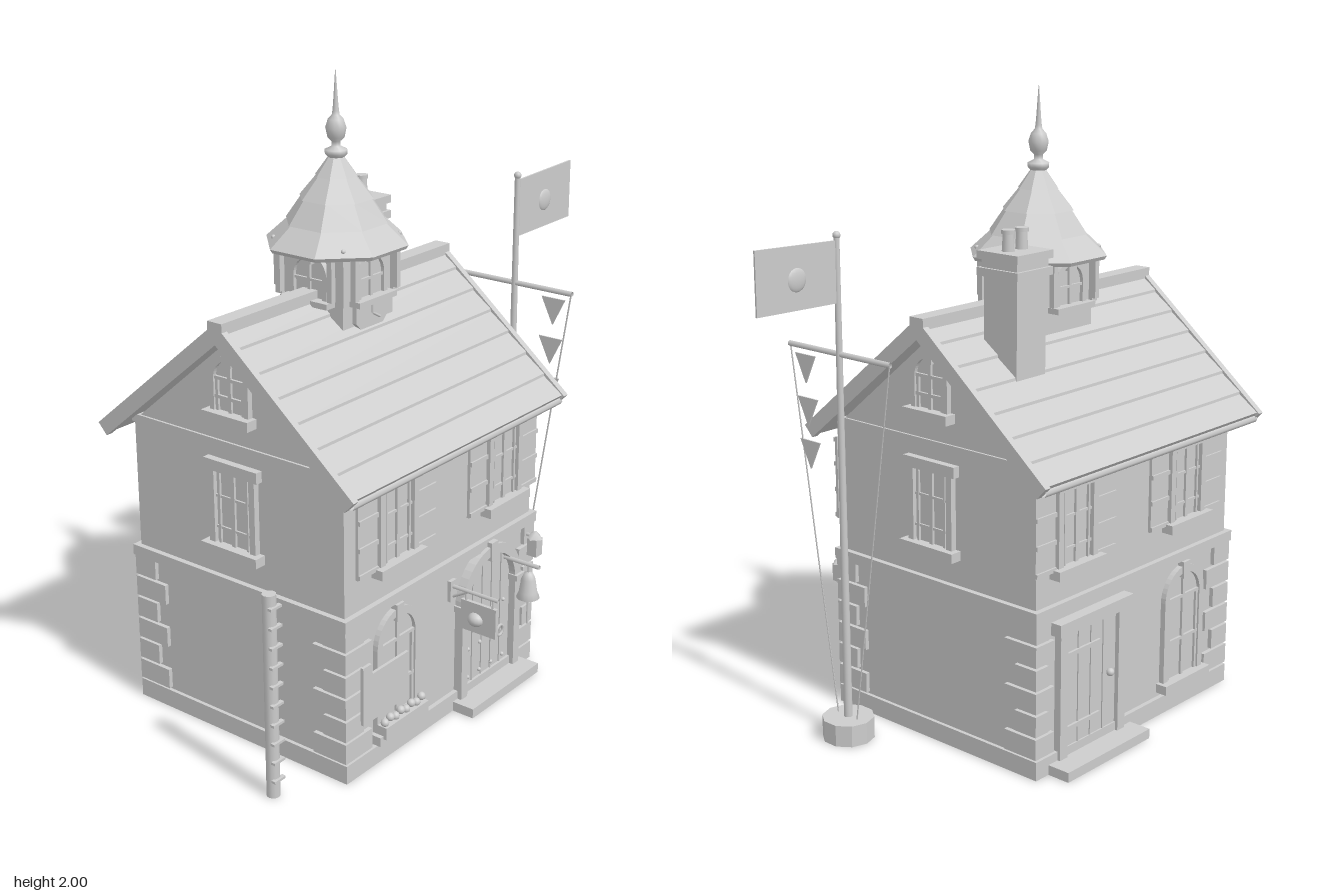
import * as THREE from 'three';

const grey = new THREE.MeshStandardMaterial({ color: 0xcccccc, side: THREE.DoubleSide });
grey.name = 'plainGrey';

// ---------- helpers ----------
function add(parent, name, geo, x = 0, y = 0, z = 0) {
  const m = new THREE.Mesh(geo, grey);
  m.name = name;
  m.position.set(x, y, z);
  parent.add(m);
  return m;
}
const group = (parent, name, x = 0, y = 0, z = 0, ry = 0) => {
  const g = new THREE.Group();
  g.name = name;
  g.position.set(x, y, z);
  g.rotation.y = ry;
  parent.add(g);
  return g;
};
const box = (p, name, w, h, d, x, y, z) => add(p, name, new THREE.BoxGeometry(w, h, d), x, y, z);
const cyl = (p, name, r1, r2, h, x, y, z, n = 12) => add(p, name, new THREE.CylinderGeometry(r1, r2, h, n), x, y, z);
const ball = (p, name, r, x, y, z) => add(p, name, new THREE.SphereGeometry(r, 14, 10), x, y, z);
const poly = pts => new THREE.Shape(pts.map(p => new THREE.Vector2(p[0], p[1])));
const extrude = (s, depth) => new THREE.ExtrudeGeometry(s, { depth, bevelEnabled: false, curveSegments: 10 });
const lathe = (pts, n) => new THREE.LatheGeometry(pts.map(p => new THREE.Vector2(p[0], p[1])), n);
function rod(p, name, a, b, r, n = 6) {
  return add(p, name, new THREE.TubeGeometry(new THREE.LineCurve3(new THREE.Vector3(...a), new THREE.Vector3(...b)), 1, r, n));
}
// Profile in (z, y), extruded along x and centred
function alongX(pts, length) {
  return extrude(poly(pts), length).rotateY(-Math.PI / 2).translate(length / 2, 0, 0);
}
// Round-headed outline: half width r, from y0 up to the springing ys
function arch(r, y0, ys, Type = THREE.Shape) {
  const s = new Type();
  s.moveTo(-r, y0);
  s.lineTo(r, y0);
  s.lineTo(r, ys);
  s.absarc(0, ys, r, 0, Math.PI, false);
  s.lineTo(-r, y0);
  return s;
}
function archSurround(p, rOut, rIn, y0, ys, depth) {
  const s = arch(rOut, y0, ys);
  s.holes.push(arch(rIn, y0 + 0.001, ys, THREE.Path));
  add(p, 'archSurround', extrude(s, depth));
  add(p, 'archPanel', extrude(arch(rIn, y0, ys), 0.006));
  box(p, 'keystone', 0.035, rOut - rIn + 0.03, depth + 0.012, 0, ys + (rOut + rIn) / 2, depth / 2);
}
function archWindow(wall, u, rOut, y0, ys) {
  const g = group(wall, 'archedWindow', u), rIn = rOut * 0.77;
  archSurround(g, rOut, rIn, y0, ys, 0.018);
  box(g, 'mullion', 0.012, ys + rIn - y0, 0.014, 0, (ys + rIn + y0) / 2, 0.007);
  for (const y of [ys, (ys + y0) / 2]) box(g, 'glazingBar', rIn * 2, 0.01, 0.014, 0, y, 0.007);
  for (const s of [-1, 1]) box(g, 'sash', 0.01, ys - y0, 0.014, s * (rIn - 0.008), (ys + y0) / 2, 0.007);
  box(g, 'sill', rOut * 2 + 0.03, 0.03, 0.045, 0, y0, 0.018);
}
function sashWindow(wall, u, shutters) {
  const g = group(wall, 'sashWindow', u);
  box(g, 'glass', 0.16, 0.25, 0.006, 0, 0.77, 0.003);
  for (const x of [-0.08, 0.08]) box(g, 'frameSide', 0.022, 0.25, 0.02, x, 0.77, 0.01);
  for (const x of [-0.055, 0, 0.055]) box(g, 'mullion', x ? 0.008 : 0.014, 0.25, 0.014, x, 0.77, 0.007);
  for (const y of [0.7, 0.8]) box(g, 'glazingBar', 0.15, 0.008, 0.012, 0, y, 0.006);
  box(g, 'lintel', shutters ? 0.19 : 0.21, 0.035, 0.024, 0, 0.9, 0.012);
  box(g, 'sill', 0.22, 0.03, 0.045, 0, 0.635, 0.018);
  if (!shutters) return;
  for (const s of [-1, 1]) {
    box(g, 'shutter', 0.088, 0.27, 0.01, s * 0.14, 0.775, 0.005);
    for (const y of [0.65, 0.735, 0.82, 0.9]) box(g, 'shutterRail', 0.088, 0.014, 0.016, s * 0.14, y, 0.008);
  }
}

// ---------- house ----------
const HX = 0.478, HZ = 0.41, PITCH = 0.83;

function buildShell(h) {
  add(h, 'walls', alongX([[-HZ, 0], [HZ, 0], [HZ, 0.955], [0, 1.3], [-HZ, 0.955]], HX * 2));
  box(h, 'plinth', HX * 2 + 0.024, 0.06, HZ * 2 + 0.03, 0, 0.03, 0);
  box(h, 'stringCourse', HX * 2 + 0.036, 0.035, HZ * 2 + 0.036, 0, 0.52, 0);
  box(h, 'gableBand', HX * 2 + 0.015, 0.025, HZ * 2 + 0.01, 0, 0.965, 0);
  // corner stones, alternately long and short
  for (const sx of [-1, 1]) for (const sz of [-1, 1]) for (let i = 0; i < 6; i++) {
    const w = i % 2 ? 0.085 : 0.125, wx = sx > 0 ? w * 0.68 : w;
    box(h, 'cornerStone', wx, 0.066, w, sx * (HX + 0.014 - wx / 2), 0.1 + i * 0.074, sz * (HZ + 0.014 - w / 2));
  }
}

function buildRoof(h) {
  const top = z => 1.347 - PITCH * z, half = [], n = 7, end = 0.492;
  for (let i = 0; i < n; i++) {
    half.push([i * end / n + 0.001, top(i * end / n)]);
    half.push([(i + 1) * end / n, top((i + 1) * end / n) + 0.009]);
  }
  half.push([end - 0.025, top(end) - 0.022]);
  const chevron = (hs, y) => [...hs, [0, y], ...hs.slice().reverse().map(p => [-p[0], p[1]])];
  add(h, 'roofCourses', alongX(chevron(half, 1.302), 1.06));
  const board = chevron([[0.001, 1.36], [0.5, 0.945], [0.467, 0.91]], 1.297);
  for (const s of [-1, 1]) add(h, 'bargeBoard', alongX(board, 0.022), s * 0.534);
  box(h, 'ridgeCap', 1.09, 0.035, 0.055, 0, 1.347, 0);
  for (const s of [-1, 1]) rod(h, 'gutter', [-0.53, 0.925, s * 0.478], [0.53, 0.925, s * 0.478], 0.012);
}

function buildChimney(h) {
  const g = group(h, 'chimney', 0.279, 0, -0.15);
  box(g, 'stack', 0.13, 0.45, 0.13, 0, 1.26, 0);
  box(g, 'lowerCap', 0.16, 0.025, 0.16, 0, 1.485, 0);
  box(g, 'neck', 0.14, 0.03, 0.14, 0, 1.51, 0);
  box(g, 'upperCap', 0.16, 0.025, 0.16, 0, 1.535, 0);
  for (const x of [-0.03, 0.03]) {
    cyl(g, 'pot', 0.016, 0.02, 0.07, x, 1.575, 0);
    cyl(g, 'potRim', 0.021, 0.021, 0.012, x, 1.605, 0);
  }
}

function buildCupola(h) {
  const g = group(h, 'cupola');
  box(g, 'body', 0.24, 0.31, 0.24, 0, 1.325, 0);
  for (const sx of [-1, 1]) for (const sz of [-1, 1]) {
    box(g, 'cornerPost', 0.026, 0.16, 0.026, sx * 0.12, 1.41, sz * 0.12);
    ball(g, 'roofStud', 0.007, sx * 0.135, 1.503, sz * 0.135);
  }
  for (let i = 0; i < 4; i++) {
    const f = group(g, 'cupolaFace', 0, 0, 0, i * Math.PI / 2);
    const w = group(f, 'louvreWindow', 0, 0, 0.12);
    archSurround(w, 0.073, 0.055, 1.335, 1.405, 0.018);
    box(w, 'mullion', 0.01, 0.12, 0.014, 0, 1.395, 0.007);
    box(w, 'glazingBar', 0.11, 0.008, 0.014, 0, 1.395, 0.007);
    box(w, 'ledge', 0.18, 0.018, 0.045, 0, 1.33, 0.018);
    for (const s of [-1, 1]) box(w, 'eaveBracket', 0.018, 0.13, 0.018, s * 0.1, 1.41, 0.03);
  }
  // clock on the front
  const clock = group(g, 'clock', 0, 1.285, 0.12);
  add(clock, 'clockFace', extrude(poly([[-0.05, -0.045], [0.05, -0.045], [0.075, -0.02], [0.075, 0.04], [-0.075, 0.04], [-0.075, -0.02]]), 0.015));
  rod(clock, 'hourHand', [0, 0, 0.018], [0.035, -0.02, 0.018], 0.004);
  rod(clock, 'minuteHand', [0, 0, 0.018], [0, 0.035, 0.018], 0.004);
  // eight-sided tiered roof
  const k = 1 / Math.cos(Math.PI / 8);
  const pts = [[0, 1.475], [0.2, 1.475], [0.207, 1.487], [0.14, 1.553], [0.148, 1.55], [0.1, 1.625], [0.107, 1.622],
    [0.055, 1.69], [0.061, 1.687], [0.022, 1.745]].map(p => [p[0] * k, p[1]]);
  const roof = lathe(pts, 8).rotateY(Math.PI / 8).toNonIndexed();
  roof.computeVertexNormals();
  add(g, 'cupolaRoof', roof);
  add(g, 'finial', lathe([[0.022, 1.74], [0.034, 1.752], [0.034, 1.765], [0.014, 1.775], [0.014, 1.79], [0.026, 1.802],
    [0.032, 1.83], [0.024, 1.855], [0.012, 1.868], [0.01, 1.88], [0.008, 1.9], [0.001, 2]], 12));
}

function buildFrontDoor(wall) {
  const g = group(wall, 'frontDoor', 0.233);
  archSurround(g, 0.163, 0.13, 0.03, 0.35, 0.03);
  for (const s of [-1, 1]) box(g, 'impost', 0.045, 0.02, 0.04, s * 0.147, 0.35, 0.02);
  for (const x of [-0.078, -0.026, 0.026, 0.078]) box(g, 'plankJoint', 0.004, 0.42, 0.01, x, 0.25, 0.005);
  for (const y of [0.08, 0.18, 0.28]) for (let i = 0; i < 4; i++) ball(g, 'stud', 0.007, -0.1 + i * 0.065, y, 0.008);
  add(g, 'doorRing', new THREE.TorusGeometry(0.018, 0.005, 6, 14), 0.07, 0.18, 0.015);
  box(g, 'step', 0.375, 0.032, 0.095, 0, 0.016, 0.045);
  // hanging bell
  rod(g, 'bellArm', [0.1, 0.43, 0], [0.1, 0.43, 0.14], 0.008);
  add(g, 'bell', lathe([[0.03, 0], [0.038, 0], [0.03, 0.02], [0.023, 0.065], [0.014, 0.085], [0.001, 0.09]], 14), 0.1, 0.315, 0.1);
  rod(g, 'bellRope', [0.1, 0.22, 0.1], [0.1, 0.43, 0.1], 0.004);
}

function buildBackDoor(wall) {
  const g = group(wall, 'backDoor', -0.233);
  box(g, 'doorLeaf', 0.25, 0.42, 0.01, 0, 0.24, 0.005);
  for (const s of [-1, 1]) box(g, 'pilaster', 0.035, 0.42, 0.025, s * 0.14, 0.24, 0.012);
  box(g, 'lintel', 0.35, 0.04, 0.04, 0, 0.46, 0.018);
  for (const x of [-0.06, 0, 0.06]) box(g, 'plankJoint', 0.005, 0.41, 0.014, x, 0.24, 0.007);
  for (const y of [0.12, 0.36]) box(g, 'hinge', 0.16, 0.014, 0.018, -0.04, y, 0.009);
  ball(g, 'knob', 0.013, 0.09, 0.24, 0.018);
  box(g, 'step', 0.4, 0.032, 0.095, 0, 0.016, 0.045);
}

function buildFrontFittings(wall) {
  // hanging sign beside the door
  const s = group(wall, 'hangingSign', 0.043);
  box(s, 'bracketPlate', 0.03, 0.07, 0.012, 0, 0.425, 0.006);
  rod(s, 'signArm', [0, 0.44, 0], [0, 0.44, 0.18], 0.007);
  rod(s, 'signBrace', [0, 0.4, 0], [0, 0.44, 0.07], 0.005);
  box(s, 'signBoard', 0.012, 0.1, 0.13, 0, 0.36, 0.11);
  for (const z of [0.06, 0.16]) rod(s, 'signLink', [0, 0.4, z], [0, 0.44, z], 0.004);
  ball(s, 'signBoss', 0.028, 0, 0.355, 0.1).scale.y = 0.85;
  // lantern at the corner
  const l = group(wall, 'lantern', 0.45, 0, 0.045);
  box(l, 'lanternBody', 0.036, 0.06, 0.036, 0, 0.435, 0);
  cyl(l, 'lanternCap', 0.006, 0.03, 0.022, 0, 0.476, 0, 4);
  rod(l, 'lanternArm', [0, 0.47, -0.045], [0, 0.47, 0], 0.006);
  // notice board and planter
  add(wall, 'noticeBoard', extrude(poly([[-0.43, 0.175], [-0.225, 0.175], [-0.21, 0.2], [-0.21, 0.33], [-0.385, 0.33], [-0.39, 0.365], [-0.43, 0.365]]), 0.01), 0, 0, 0.02);
  box(wall, 'planter', 0.21, 0.04, 0.045, -0.242, 0.115, 0.03);
  for (let i = 0; i < 8; i++) ball(wall, 'flower', 0.013, -0.333 + i * 0.026, 0.143 + (i % 2) * 0.008, 0.035);
}

// ---------- freestanding parts ----------
function buildFlagpole(root) {
  const g = group(root, 'flagpole', 0.51, 0, 0.172);
  const base = new THREE.CylinderGeometry(0.083, 0.083, 0.07, 10).toNonIndexed();
  base.computeVertexNormals();
  add(g, 'poleBase', base, 0, 0.035, 0);
  cyl(g, 'pole', 0.009, 0.014, 1.56, 0, 0.82, 0);
  ball(g, 'poleCap', 0.012, 0, 1.597, 0);
  rod(g, 'crossArm', [0, 1.24, -0.215], [0, 1.24, 0.22], 0.009);
  rod(g, 'frontRope', [0, 1.24, 0.217], [0, 0.07, 0.045], 0.003, 4);
  rod(g, 'backRope', [0, 1.24, -0.212], [0, 0.07, -0.04], 0.003, 4);
  for (let i = 0; i < 3; i++) {
    const y = 1.215 - i * 0.135, z = 0.195 - i * 0.006;
    add(g, 'pennant', alongX([[z, y], [z - 0.088, y], [z - 0.044, y - 0.09]], 0.005));
  }
  add(g, 'flag', extrude(poly([[0.008, 1.395], [0.313, 1.4], [0.313, 1.592], [0.008, 1.582]]), 0.006), 0, 0, -0.003);
  ball(g, 'flagEmblem', 0.037, 0.16, 1.487, 0).scale.z = 0.3;
}

function buildGaugePost(root) {
  const g = group(root, 'gaugePost', -0.805, 0, 0.245);
  cyl(g, 'post', 0.021, 0.021, 0.655, 0, 0.3275, 0);
  for (let i = 0; i < 10; i++) box(g, 'postRung', 0.046, 0.008, 0.014, 0, 0.06 + i * 0.062, 0.021);
}

export function createModel() {
  const root = new THREE.Group();
  root.name = 'townHouse';
  const house = group(root, 'house', -0.143, 0, -0.043);
  buildShell(house);
  buildRoof(house);
  buildChimney(house);
  buildCupola(house);
  // wall fittings, each wall with its own outward z
  const front = group(house, 'frontWall', 0, 0, HZ);
  const back = group(house, 'backWall', 0, 0, -HZ, Math.PI);
  for (const [wall, s] of [[front, 1], [back, -1]]) {
    archWindow(wall, s * -0.242, 0.105, 0.09, 0.38);
    for (const u of [-0.242, 0.308]) sashWindow(wall, s * u, true);
  }
  buildFrontDoor(front);
  buildFrontFittings(front);
  buildBackDoor(back);
  for (const s of [-1, 1]) {
    const gable = group(house, 'gableWall', s * HX, 0, 0, s * Math.PI / 2);
    sashWindow(gable, 0, false);
    archWindow(gable, 0, 0.075, 1.06, 1.175);
  }
  buildFlagpole(root);
  buildGaugePost(root);
  return root;
}
